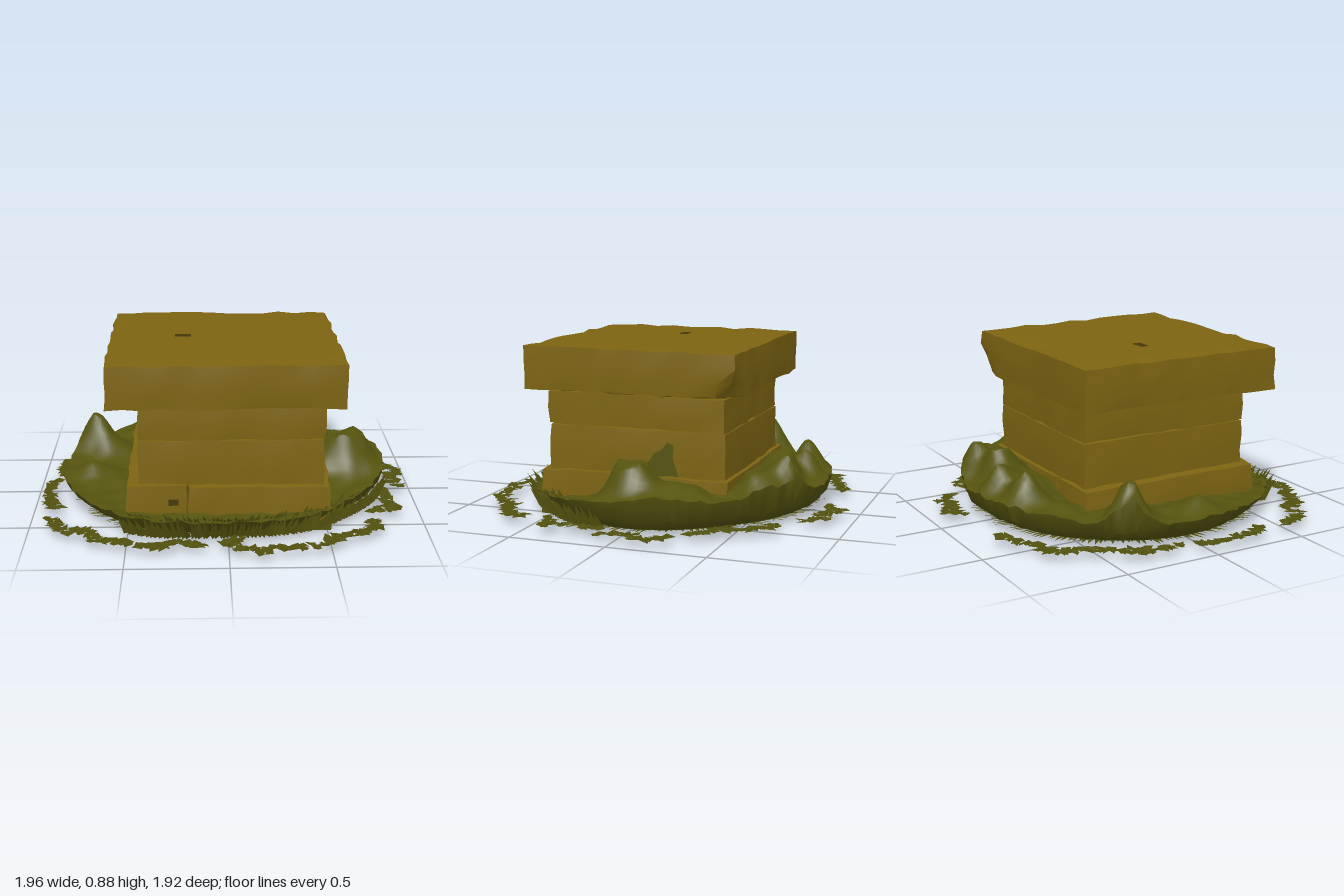
import * as THREE from 'three';
import { toCreasedNormals } from 'three/addons/utils/BufferGeometryUtils.js';

const stone = new THREE.MeshStandardMaterial({ color: 0x7d6412 });
stone.name = 'ochre stone';
const moss = new THREE.MeshStandardMaterial({ color: 0x55540f, side: THREE.DoubleSide });
moss.name = 'moss green';
const leaf = new THREE.MeshStandardMaterial({ color: 0x50500f, side: THREE.DoubleSide });
leaf.name = 'leaf green';
const chip = new THREE.MeshStandardMaterial({ color: 0x453809 });
chip.name = 'dark chip';

let seed = 7;
function rand() {
  seed = (seed * 16807) % 2147483647;
  return seed / 2147483647;
}
// Repeatable noise by position, from -1 to 1
const noise = (x, y, z) => {
  const s = Math.sin(x * 127.1 + y * 311.7 + z * 74.7) * 43758.5453;
  return (s - Math.floor(s)) * 2 - 1;
};

function add(group, name, geometry, material) {
  const mesh = new THREE.Mesh(geometry, material);
  mesh.name = name;
  group.add(mesh);
  return mesh;
}

// Worn stone block between two corners: edges pulled in unevenly
function block(x0, x1, y0, y1, z0, z1, wear = 0.008) {
  const size = [x1 - x0, y1 - y0, z1 - z0];
  const mid = [(x0 + x1) / 2, (y0 + y1) / 2, (z0 + z1) / 2];
  const seg = size.map(s => Math.max(2, Math.round(s / 0.09)));
  const g = new THREE.BoxGeometry(...size, ...seg);
  const p = g.attributes.position;
  for (let i = 0; i < p.count; i++) {
    const v = [p.getX(i), p.getY(i), p.getZ(i)];
    const key = v.map(c => Math.round(c * 1000) / 1000);
    const ends = v.map((c, k) => Math.abs(c) > size[k] / 2 - 1e-4);
    const edge = ends.filter(Boolean).length > 1;
    const n = noise(...key);
    const out = v.map((c, k) => {
      const pull = edge ? wear * (0.8 + 0.7 * n) : wear * 0.2 * (1 + n);
      return mid[k] + (ends[k] ? c - Math.sign(c) * pull : c);
    });
    p.setXYZ(i, ...out);
  }
  return toCreasedNormals(g, 0.6);
}

// Rim radius and height every 45 degrees, from +x toward +z
const RIM = [0.85, 0.77, 0.72, 0.83, 0.87, 0.84, 0.82, 0.79];
const RIM_Y = [0.17, 0.12, 0.11, 0.12, 0.14, 0.14, 0.15, 0.16];
function around(list, a) {
  const t = ((a / (Math.PI / 4)) % 8 + 8) % 8;
  const i = Math.floor(t), f = (1 - Math.cos((t - i) * Math.PI)) / 2;
  return list[i] * (1 - f) + list[(i + 1) % 8] * f;
}

// Mounds: x, z, height, spread
const MOUNDS = [
  [-0.72, -0.33, 0.19, 0.06], [-0.63, -0.27, 0.09, 0.08], [-0.7, 0.07, 0.08, 0.07],
  [0.66, 0.04, 0.16, 0.07], [0.57, 0.0, 0.14, 0.08], [0.71, -0.03, 0.1, 0.06], [0.6, -0.25, 0.09, 0.1],
  [-0.27, -0.66, 0.17, 0.06], [-0.06, -0.7, 0.13, 0.06], [0.12, -0.62, 0.18, 0.06],
  [0.28, -0.68, 0.16, 0.055], [0.42, -0.56, 0.12, 0.08], [-0.1, -0.54, 0.1, 0.12],
  [0.2, -0.53, 0.1, 0.12], [0.75, -0.15, 0.05, 0.08], [-0.45, -0.55, 0.06, 0.1],
];
function mossHeight(x, z, base) {
  let y = base + 0.008 * Math.sin(x * 31 + z * 17) * Math.sin(z * 29 - x * 11);
  for (const [mx, mz, h, s] of MOUNDS) {
    y += h * Math.exp(-((x - mx) ** 2 + (z - mz) ** 2) / (2 * s * s));
  }
  return Math.min(y, 0.33 + 0.012 * Math.sin(x * 40 + z * 23));
}

// Dish of moss: closed base, flared side and lumpy top, built ring by ring
function mossBed() {
  const pos = [], idx = [], N = 144;
  const rings = [[0, 0.015], [0.84, 0.015], [0.9, 0.04], [0.97, 0.09], [1, null]];
  for (let f = 0.975; f > 0.3; f -= 0.025) rings.push([f, null]);
  rings.forEach(([f, fixed], j) => {
    for (let i = 0; i < N; i++) {
      const a = (i / N) * Math.PI * 2;
      const wob = j > 1 && j < 7 ? 0.006 * Math.sin(i * 2.3) + 0.004 * Math.sin(i * 5.1) : 0;
      const r = f * around(RIM, a) + wob;
      const x = r * Math.cos(a), z = r * Math.sin(a);
      const dip = 0.02 * Math.min(1, (1 - f) * 8);
      pos.push(x, fixed === null ? mossHeight(x, z, around(RIM_Y, a) - dip) : fixed, z);
      if (j) {
        const p = (j - 1) * N + i, q = (j - 1) * N + (i + 1) % N;
        idx.push(p, q, p + N, q, q + N, p + N);
      }
    }
  });
  const g = new THREE.BufferGeometry();
  g.setAttribute('position', new THREE.Float32BufferAttribute(pos, 3));
  g.setIndex(idx);
  return toCreasedNormals(g, 0.8);
}

function triangles(pos) {
  const g = new THREE.BufferGeometry();
  g.setAttribute('position', new THREE.Float32BufferAttribute(pos, 3));
  g.computeVertexNormals();
  return g;
}

// Pointed blades leaning outward along the front edge
function grassFringe() {
  const pos = [];
  for (let row = 0; row < 2; row++) {
    for (let d = 8; d < 128; d += 1.6) {
      const a = (d + rand()) * Math.PI / 180, w = 0.016 + rand() * 0.012;
      const r = around(RIM, a) - 0.05 - row * 0.05, tip = r + 0.05 + rand() * 0.06;
      const at = (rad, ang, y) => [rad * Math.cos(ang), y, rad * Math.sin(ang)];
      const low = 0.025 + row * 0.05, top = 0.11 + rand() * 0.045;
      const A = at(r, a + w, low), B = at(r, a - w, low), C = at(tip, a, top);
      const D = at(r + 0.045, a, low);
      pos.push(...A, ...C, ...D, ...D, ...C, ...B, ...B, ...C, ...A);
    }
  }
  return triangles(pos);
}

// Short spikes under the flared edge, pointing outward
function underFringe() {
  const pos = [];
  for (let d = 0; d < 360; d += 2) {
    const a = (d + rand()) * Math.PI / 180, r = around(RIM, a) * 0.8;
    const t = r + 0.09 + rand() * 0.06;
    pos.push(r * Math.cos(a - 0.025), 0.014, r * Math.sin(a - 0.025),
      r * Math.cos(a + 0.025), 0.014, r * Math.sin(a + 0.025),
      t * Math.cos(a), 0.03, t * Math.sin(a));
  }
  return triangles(pos);
}

// Trails of fallen leaves: paths of x, z pairs
const TRAILS = [
  [[0.88, -0.26], [0.95, -0.17], [0.9, -0.05], [0.93, 0.06]],
  [[0.83, 0.1], [0.84, 0.25], [0.85, 0.37], [0.76, 0.4]],
  [[0.74, 0.55], [0.7, 0.66], [0.55, 0.72], [0.44, 0.83], [0.25, 0.88], [0.1, 0.89], [0, 0.81], [0.05, 0.75]],
  [[-0.14, 0.83], [-0.27, 0.79], [-0.37, 0.83], [-0.5, 0.78], [-0.63, 0.74], [-0.7, 0.66], [-0.82, 0.62], [-0.9, 0.47]],
  [[-0.86, 0.35], [-0.92, 0.23], [-0.94, 0.08], [-0.93, -0.05]],
  [[-0.9, -0.15], [-0.88, -0.3], [-0.82, -0.42], [-0.72, -0.58], [-0.66, -0.71], [-0.5, -0.77], [-0.33, -0.84]],
  [[0.03, -0.85], [0.12, -0.91], [0.2, -0.86], [0.3, -0.87], [0.38, -0.78]],
  [[0.5, -0.68], [0.58, -0.63], [0.66, -0.52], [0.72, -0.42], [0.78, -0.36]],
];
function leafLitter() {
  const pos = [];
  for (const trail of TRAILS) {
    const path = new THREE.CatmullRomCurve3(trail.map(([x, z]) => new THREE.Vector3(x, 0.04, z)));
    const count = Math.round(path.getLength() / 0.0115);
    for (let i = 0; i < count; i++) {
      const c = path.getPoint(i / (count - 1));
      c.x += (rand() - 0.5) * 0.055;
      c.z += (rand() - 0.5) * 0.055;
      const a = rand() * 6.28, s = 0.027 + rand() * 0.02;
      const corner = (t, k) => [
        THREE.MathUtils.clamp(c.x + s * k * Math.cos(a + t), -0.97, 1),
        0.042 + (rand() - 0.5) * 0.014, c.z + s * k * Math.sin(a + t)];
      const A = corner(0, 1.1), B = corner(1.9, 0.7), C = corner(3.1, 0.9), D = corner(4.5, 0.6);
      pos.push(...A, ...C, ...B, ...A, ...D, ...C);
    }
  }
  return triangles(pos);
}

export function createModel() {
  const model = new THREE.Group();
  model.name = 'stonePedestal';

  // Stone courses
  const pedestal = new THREE.Group();
  pedestal.name = 'pedestal';
  model.add(pedestal);
  add(pedestal, 'plinthLeftBlock', block(-0.2, 0.52, 0.02, 0.24, -0.45, 0.565), stone);
  add(pedestal, 'plinthRightBlock', block(-0.51, -0.2, 0.02, 0.245, -0.45, 0.56), stone);
  add(pedestal, 'lowerCourse', block(-0.45, 0.485, 0.22, 0.47, -0.425, 0.525, 0.006), stone);
  add(pedestal, 'upperCourse', block(-0.447, 0.49, 0.465, 0.64, -0.42, 0.53, 0.006), stone);
  add(pedestal, 'neckMoulding', block(-0.47, 0.5, 0.63, 0.68, -0.44, 0.545, 0.012), stone);

  // Top slab, with its lower back-left corner broken away
  const slab = block(-0.6, 0.58, 0.65, 0.878, -0.5, 0.62, 0.007);
  const p = slab.attributes.position;
  for (let i = 0; i < p.count; i++) {
    const near = Math.hypot(p.getX(i) - 0.58, p.getY(i) - 0.65, p.getZ(i) + 0.5);
    const cut = Math.max(0, 0.12 - near) * 0.45;
    p.setXYZ(i, p.getX(i) - cut, p.getY(i) + cut * 0.5, p.getZ(i) + cut);
  }
  slab.computeVertexNormals();
  add(pedestal, 'topSlab', toCreasedNormals(slab, 0.6), stone);

  // Small chips in the stone
  add(pedestal, 'slabChip', new THREE.BoxGeometry(0.085, 0.004, 0.04), chip).position.set(-0.22, 0.877, 0.035);
  add(pedestal, 'plinthChip', new THREE.BoxGeometry(0.05, 0.03, 0.006), chip).position.set(-0.27, 0.155, 0.561);

  // Moss patch climbing the left wall
  const patch = new THREE.Shape([[0.03, 0.2], [-0.2, 0.2], [-0.17, 0.27], [-0.15, 0.33], [-0.155, 0.4],
    [-0.12, 0.41], [-0.09, 0.37], [-0.05, 0.35], [-0.01, 0.29]].map(([z, y]) => new THREE.Vector2(-z, y)));
  const wallMoss = add(model, 'wallMoss', new THREE.ShapeGeometry(patch), moss);
  wallMoss.rotation.y = Math.PI / 2;
  wallMoss.position.x = 0.489;

  // Ground cover
  add(model, 'mossBed', mossBed(), moss);
  add(model, 'footing', new THREE.BoxGeometry(1.03, 0.03, 1.01), moss).position.set(0.005, 0.015, 0.055);
  add(model, 'grassFringe', grassFringe(), moss);
  add(model, 'underFringe', underFringe(), leaf);
  add(model, 'leafLitter', leafLitter(), leaf);
  return model;
}
